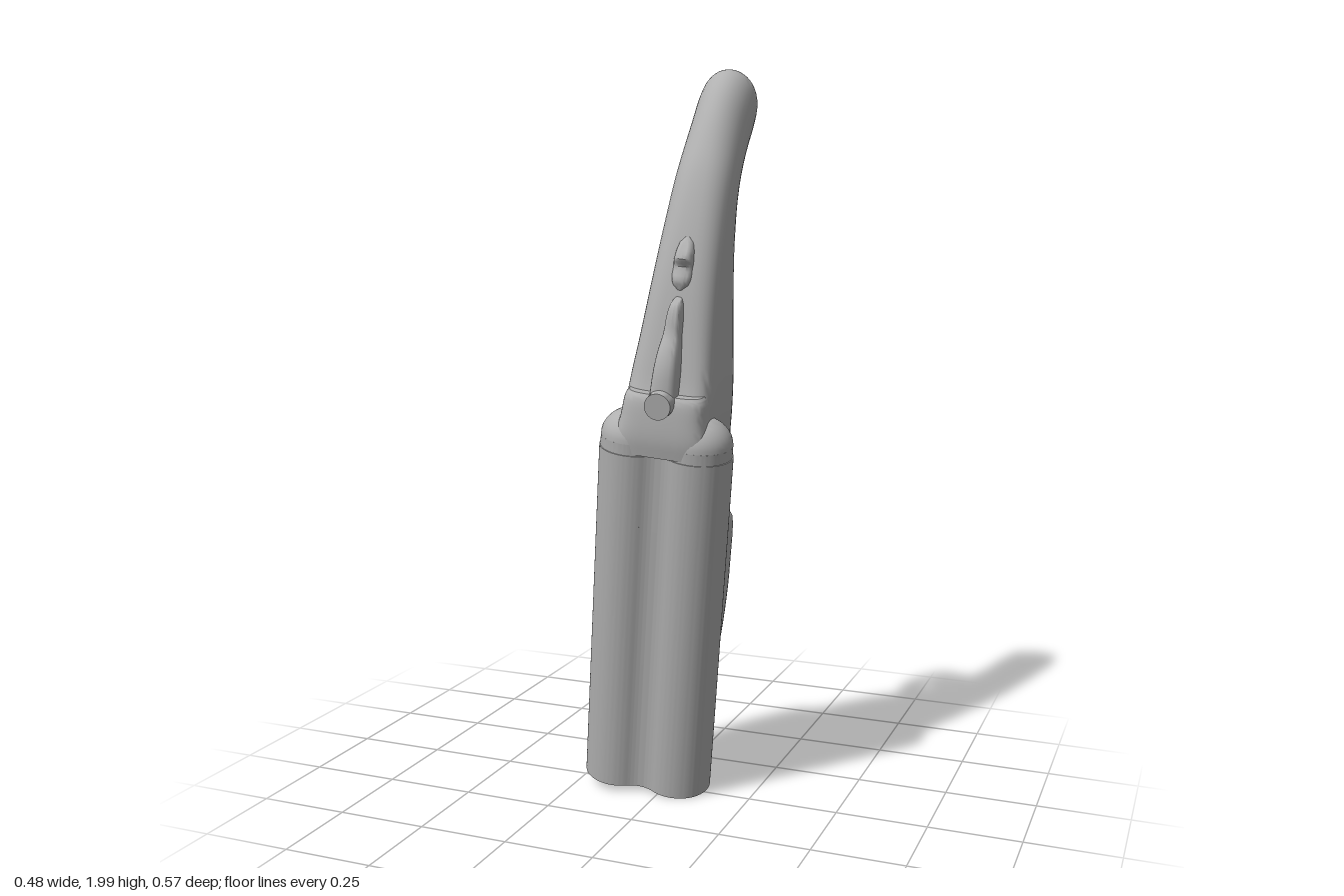
import * as THREE from 'three';
import { toCreasedNormals } from 'three/addons/utils/BufferGeometryUtils.js';

const steel = new THREE.MeshStandardMaterial({ color: 0xb0b0b0 });
steel.name = 'plain grey';

// Tilted frame: local y runs along the barrels, local z points to the sighting side
const origin = new THREE.Vector3(0.06, 1.0, 0.147);
const axisY = new THREE.Vector3(0.118, 0.981, 0.152).normalize();
const axisZ = new THREE.Vector3(0.99, -0.105, -0.1).cross(axisY).normalize();
const axisX = new THREE.Vector3().crossVectors(axisY, axisZ);

// Upright side-profile point (z, y) to the tilted centre plane [v, w]
function side(z, y) {
  const a = y - origin.y, b = z - origin.z;
  const det = axisY.y * axisZ.z - axisY.z * axisZ.y;
  return [(a * axisZ.z - b * axisZ.y) / det, (b * axisY.y - a * axisY.z) / det];
}

function mesh(name, geometry, crease = 0.6) {
  const m = new THREE.Mesh(toCreasedNormals(geometry, crease), steel);
  m.name = name;
  return m;
}

// Lofted solid; rows run upward as [frontV, frontW, backV, backW, halfWidth, squareness]
function loft(rows, sub = 4, segs = 40) {
  const front = new THREE.CatmullRomCurve3(rows.map(r => new THREE.Vector3(r[4], r[0], r[1])));
  const back = new THREE.CatmullRomCurve3(rows.map(r => new THREE.Vector3(r[5], r[2], r[3])));
  const n = (rows.length - 1) * sub;
  const pos = [], idx = [];
  const power = (c, e) => Math.sign(c) * Math.pow(Math.abs(c), 2 / e);
  for (let i = 0; i <= n; i++) {
    const f = front.getPoint(i / n), b = back.getPoint(i / n);
    for (let j = 0; j < segs; j++) {
      const t = j / segs * Math.PI * 2;
      const c = power(Math.cos(t), b.x), s = power(Math.sin(t), b.x);
      pos.push(s * f.x, (f.y + b.y) / 2 + c * (f.y - b.y) / 2, (f.z + b.z) / 2 + c * (f.z - b.z) / 2);
    }
  }
  for (let i = 0; i < n; i++) for (let j = 0; j < segs; j++) {
    const a = i * segs + j, b = i * segs + (j + 1) % segs;
    idx.push(a, b, a + segs, b, b + segs, a + segs);
  }
  for (const i of [0, n]) {
    const f = front.getPoint(i / n), b = back.getPoint(i / n), k = pos.length / 3;
    pos.push(0, (f.y + b.y) / 2, (f.z + b.z) / 2);
    for (let j = 0; j < segs; j++) {
      const p = i * segs + j, q = i * segs + (j + 1) % segs;
      if (i) idx.push(k, p, q); else idx.push(k, q, p);
    }
  }
  const g = new THREE.BufferGeometry();
  g.setAttribute('position', new THREE.Float32BufferAttribute(pos, 3));
  g.setIndex(idx);
  return g;
}
const profile = rows => rows.map(([fz, fy, bz, by, h, e]) => [...side(fz, fy), ...side(bz, by), h, e]);

// Flat band following a side-profile path
function ribbon(points, thick, width, shift = 0) {
  const curve = new THREE.SplineCurve(points.map(([z, y]) => {
    const [v, w] = side(z, y);
    return new THREE.Vector2(w, v);
  }));
  const left = [], right = [];
  for (let i = 0; i <= 36; i++) {
    const p = curve.getPoint(i / 36), t = curve.getTangent(i / 36);
    const o = new THREE.Vector2(-t.y, t.x).multiplyScalar(thick / 2);
    left.push(p.clone().add(o));
    right.push(p.clone().sub(o));
  }
  const g = new THREE.ExtrudeGeometry(new THREE.Shape([...left, ...right.reverse()]),
    { depth: width, bevelEnabled: false });
  return g.translate(0, 0, -width / 2 - shift).rotateY(-Math.PI / 2);
}

// Outline of the paired barrels with a shallow valley between them
function pairShape(r, c) {
  const s = new THREE.Shape(), a = Math.PI * 2 / 3;
  const x = c - r / 2, y = r * 0.866, k = 0.025;
  s.absarc(c, 0, r, -a, a, false);
  s.bezierCurveTo(x - k, y - k * 0.577, -x + k, y - k * 0.577, -x, y);
  s.absarc(-c, 0, r, Math.PI / 3, Math.PI * 5 / 3, false);
  s.bezierCurveTo(-x + k, -y + k * 0.577, x - k, -y + k * 0.577, x, -y);
  return s;
}

export function createModel() {
  const model = new THREE.Group();
  model.name = 'model';
  const body = new THREE.Group();
  body.name = 'tiltedBody';
  body.applyMatrix4(new THREE.Matrix4().makeBasis(axisX, axisY, axisZ).setPosition(origin));
  model.add(body);

  // Barrels with open bores
  const R = 0.094, C = 0.087;
  const shape = pairShape(R, C);
  for (const s of [-1, 1]) {
    shape.holes.push(new THREE.Path().absarc(s * C, 0, 0.068, 0, Math.PI * 2, true));
  }
  body.add(mesh('barrels', new THREE.ExtrudeGeometry(shape,
    { depth: 0.99, bevelEnabled: false, curveSegments: 32 }).rotateX(Math.PI / 2)));

  // Breech collar and rounded shoulders
  body.add(mesh('breechCollar', new THREE.ExtrudeGeometry(pairShape(R - 0.003, C),
    { depth: 0.03, bevelEnabled: false, curveSegments: 32 }).rotateX(Math.PI / 2).translate(0, 0.03, 0)));
  for (const s of [-1, 1]) {
    const dome = mesh(s < 0 ? 'rightShoulder' : 'leftShoulder',
      new THREE.SphereGeometry(R - 0.003, 32, 12, 0, Math.PI * 2, 0, Math.PI / 2));
    dome.scale.y = 0.82;
    dome.position.set(s * C, 0.03, 0);
    body.add(dome);
  }
  body.add(mesh('breechFence', loft([
    [0.005, 0.09, 0.005, -0.05, 0.13, 4], [0.05, 0.093, 0.05, -0.05, 0.125, 4],
    [0.1, 0.088, 0.1, -0.06, 0.115, 4], [0.155, 0.076, 0.155, -0.07, 0.108, 4],
    [0.167, 0.066, 0.167, -0.07, 0.1, 4]])));

  // Receiver flowing into the curved grip
  body.add(mesh('receiverAndGrip', loft(profile([
    [0.0, 0.87, -0.10, 0.865, 0.095, 6], [0.03, 0.90, -0.138, 0.91, 0.108, 6],
    [0.05, 0.98, -0.138, 1.0, 0.113, 6], [0.20, 1.0, -0.135, 1.04, 0.116, 6],
    [0.222, 1.1, -0.12, 1.12, 0.118, 5.5], [0.205, 1.18, -0.105, 1.2, 0.116, 5],
    [0.19, 1.28, -0.095, 1.3, 0.108, 4.2], [0.165, 1.45, -0.08, 1.47, 0.096, 3.2],
    [0.13, 1.6, -0.08, 1.58, 0.088, 2.6], [0.09, 1.72, -0.09, 1.65, 0.083, 2.3],
    [0.05, 1.8, -0.12, 1.71, 0.08, 2.1], [0.0, 1.885, -0.165, 1.76, 0.078, 2],
    [-0.05, 1.95, -0.205, 1.81, 0.078, 2], [-0.10, 1.988, -0.228, 1.86, 0.073, 2],
    [-0.14, 1.995, -0.23, 1.9, 0.055, 2], [-0.185, 1.965, -0.2, 1.95, 0.012, 2]]))));

  // Forearm: metal knuckle and rounded handguard
  body.add(mesh('forearmKnuckle', loft([
    [-0.3, -0.05, -0.3, -0.28, 0.112, 9], [-0.18, -0.05, -0.18, -0.278, 0.112, 9],
    [-0.168, -0.05, -0.168, -0.268, 0.106, 9]], 1)));
  body.add(mesh('handguard', loft([
    [-0.86, -0.06, -0.86, -0.085, 0.075, 3], [-0.833, -0.06, -0.833, -0.135, 0.1, 3.5],
    [-0.76, -0.06, -0.76, -0.197, 0.122, 4], [-0.667, -0.06, -0.667, -0.243, 0.133, 5],
    [-0.55, -0.06, -0.55, -0.277, 0.138, 5.5], [-0.4, -0.06, -0.4, -0.299, 0.138, 6],
    [-0.27, -0.06, -0.27, -0.3, 0.134, 6], [-0.256, -0.06, -0.256, -0.29, 0.126, 6]])));

  // Opening lever, its pivot and the sliding catch
  body.add(mesh('lever', loft(profile([
    [0.255, 1.15, 0.18, 1.15, 0.036, 3], [0.253, 1.22, 0.17, 1.22, 0.033, 3],
    [0.24, 1.27, 0.17, 1.27, 0.028, 3], [0.222, 1.31, 0.16, 1.31, 0.023, 3],
    [0.215, 1.36, 0.15, 1.36, 0.02, 3], [0.205, 1.385, 0.15, 1.39, 0.015, 3],
    [0.17, 1.405, 0.15, 1.405, 0.008, 3]]), 3, 20)));
  const pivot = mesh('leverPivot', new THREE.CylinderGeometry(0.035, 0.038, 0.06, 28).rotateX(Math.PI / 2));
  pivot.position.set(0, 0.15, 0.078);
  body.add(pivot);
  body.add(mesh('slidingCatch', loft(profile([
    [0.172, 1.42, 0.13, 1.42, 0.012, 2], [0.18, 1.445, 0.13, 1.445, 0.026, 2.5],
    [0.17, 1.48, 0.12, 1.48, 0.028, 2.5], [0.183, 1.5, 0.11, 1.5, 0.026, 2.5],
    [0.165, 1.53, 0.11, 1.53, 0.022, 2.5], [0.145, 1.555, 0.11, 1.555, 0.01, 2]]), 3, 20)));

  // Trigger guard and two triggers
  body.add(mesh('triggerGuard', ribbon([
    [-0.07, 1.61], [-0.09, 1.55], [-0.115, 1.49], [-0.16, 1.462], [-0.21, 1.445], [-0.25, 1.40],
    [-0.27, 1.32], [-0.268, 1.25], [-0.24, 1.195], [-0.19, 1.175], [-0.13, 1.18], [-0.08, 1.205]], 0.016, 0.06)));
  body.add(mesh('rearTrigger', ribbon(
    [[-0.08, 1.30], [-0.11, 1.35], [-0.145, 1.395], [-0.18, 1.402], [-0.215, 1.39]], 0.018, 0.026, -0.012)));
  body.add(mesh('frontTrigger', ribbon(
    [[-0.07, 1.24], [-0.105, 1.275], [-0.15, 1.318], [-0.2, 1.317], [-0.24, 1.265]], 0.018, 0.026, 0.012)));

  return model;
}
